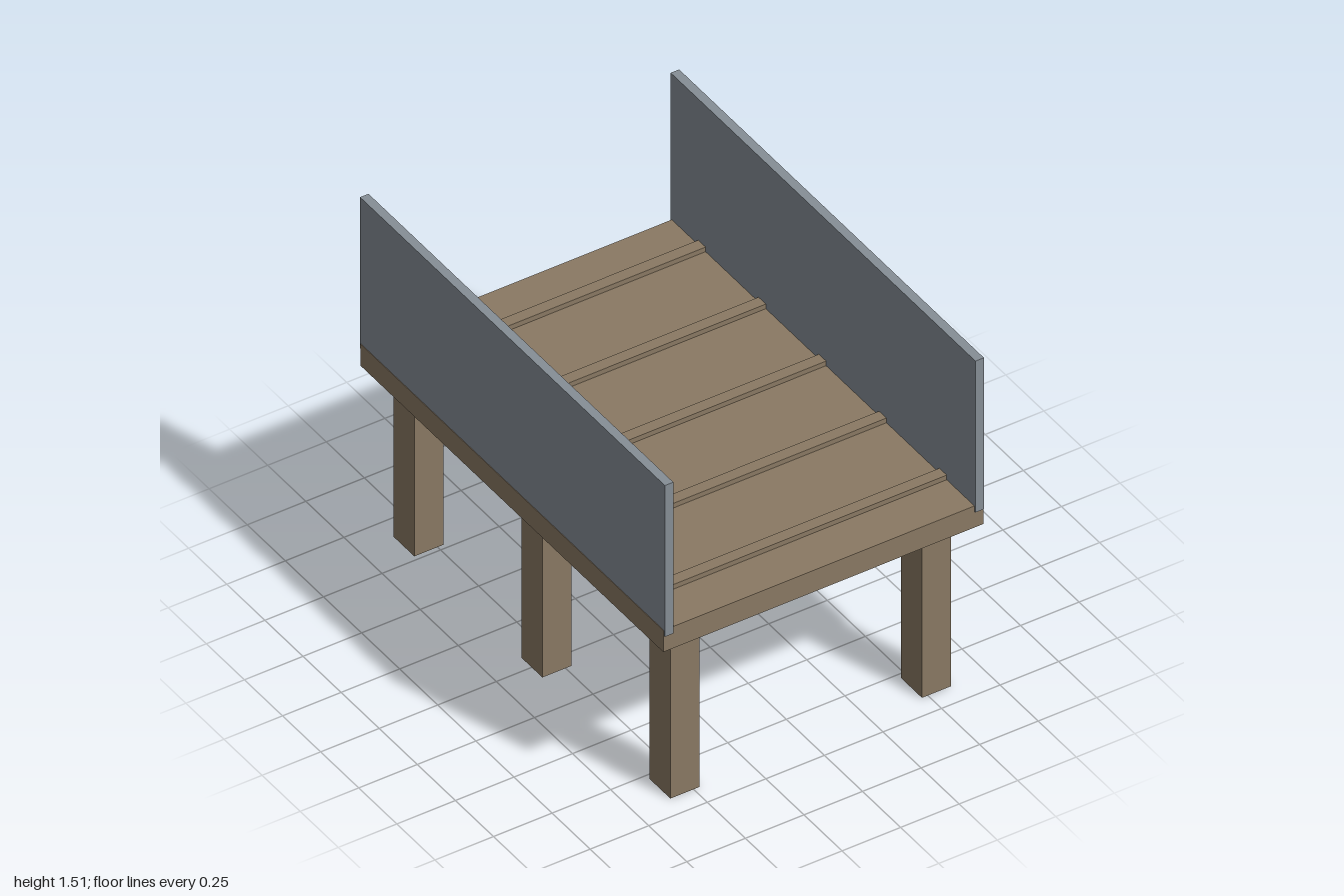
import * as THREE from 'three';

export function createModel() {
  const model = new THREE.Group();
  model.name = 'woodenBridge';

  const wood = new THREE.MeshStandardMaterial({ color: 0x8a7963 });
  wood.name = 'brown wood';
  const grey = new THREE.MeshStandardMaterial({ color: 0x868e96 });
  grey.name = 'grey panel';

  // Box given by its minimum and maximum on each axis
  function box(name, material, [x0, x1], [y0, y1], [z0, z1]) {
    const mesh = new THREE.Mesh(new THREE.BoxGeometry(x1 - x0, y1 - y0, z1 - z0), material);
    mesh.position.set((x0 + x1) / 2, (y0 + y1) / 2, (z0 + z1) / 2);
    mesh.name = name;
    model.add(mesh);
  }

  // Deck
  box('deck', wood, [-0.683, 0.683], [0.755, 0.853], [-0.993, 0.993]);

  // Raised cross slats
  for (let i = 0; i < 5; i++) {
    const z = -0.795 + i * 0.3955;
    box('crossSlat', wood, [-0.65, 0.65], [0.85, 0.874], [z - 0.024, z + 0.024]);
  }

  for (const [side, s] of [['left', 1], ['right', -1]]) {
    // Side wall, let into the deck edge
    const wallX = [0.645, 0.681].map((x) => x * s).sort((a, b) => a - b);
    box(side + 'Wall', grey, wallX, [0.828, 1.515], [-1, 1]);

    // Three legs along each side
    const legX = [0.475, 0.599].map((x) => x * s).sort((a, b) => a - b);
    for (const z of [-0.838, 0.002, 0.842]) {
      box(side + 'Leg', wood, legX, [0, 0.755], [z - 0.068, z + 0.068]);
    }
  }
  return model;
}
